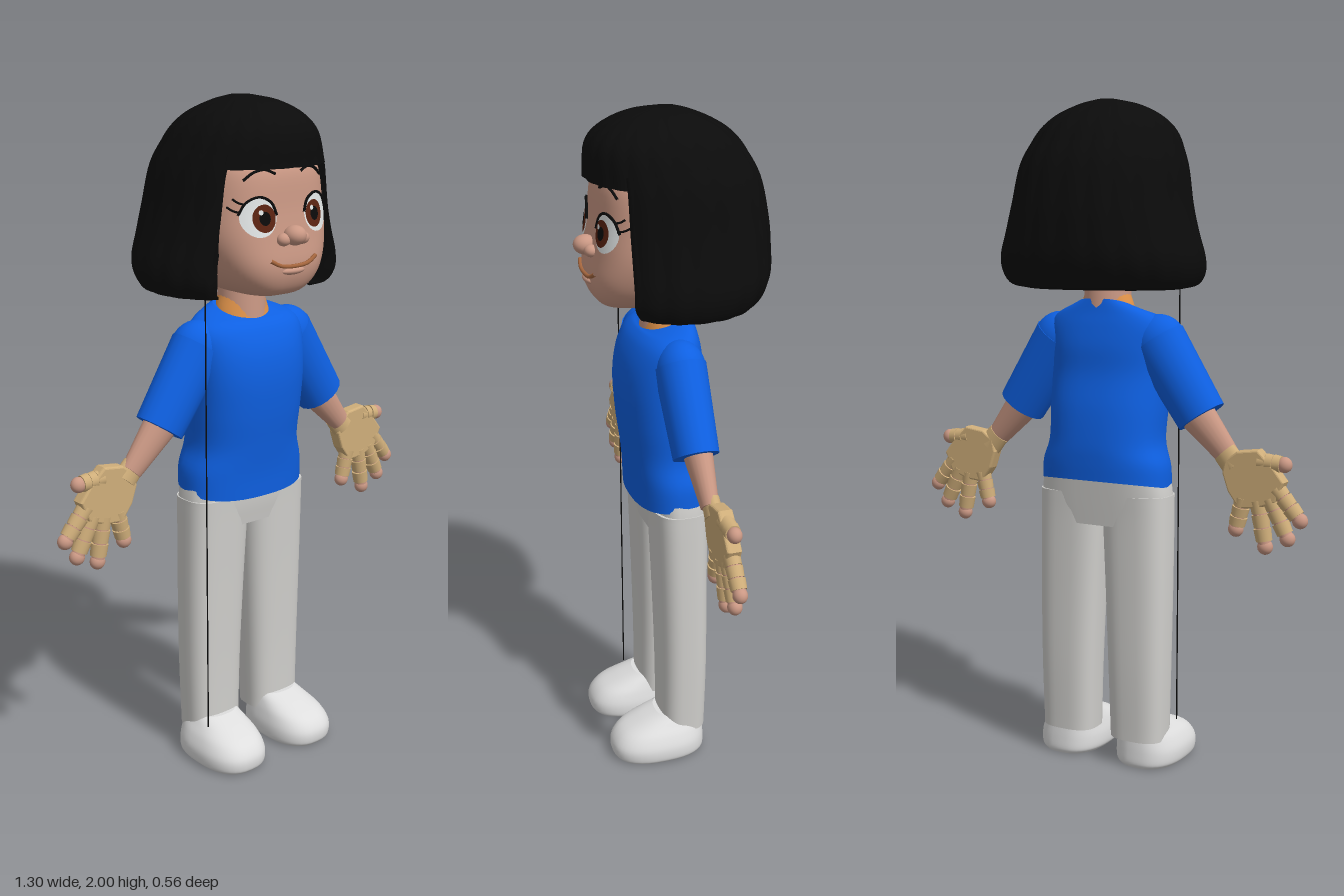
import * as THREE from 'three';

const mat = (name, color) => Object.assign(new THREE.MeshStandardMaterial({ color }), { name });
const M = {
  skin: mat('skin', 0xca9884), tan: mat('tan glove', 0xcfae7a), black: mat('black', 0x0b0b0b),
  blue: mat('shirt blue', 0x0e60e2), trousers: mat('trouser grey', 0xd0cfcc), shoe: mat('shoe white', 0xdedede),
  collar: mat('collar orange', 0xe0934a), white: mat('eye white', 0xe6eaea), iris: mat('iris brown', 0x5c2412),
  lip: mat('lip', 0xa8683f),
};

// Ring: [y, half width, front z, back z, centre x, tilt of y along z]
function resample(rings, steps = 5) {
  const full = rings.flatMap(r => [r[0], r[1], r[2], r[3], r[4] ?? 0, r[5] ?? 0]);
  const curve = new THREE.CubicInterpolant(Float32Array.from(rings.keys()), Float32Array.from(full), 6);
  const out = [], n = (rings.length - 1) * steps;
  for (let i = 0; i <= n; i++) out.push(Array.from(curve.evaluate(i / steps)));
  return out;
}

// Superellipse point; angle 0 faces the front
function oval([, w, f, b, cx], a, n, k = 1) {
  const p = v => Math.sign(v) * Math.abs(v) ** (2 / n);
  return [cx + w * k * p(Math.sin(a)), (f + b) / 2 + (f - b) / 2 * k * p(Math.cos(a))];
}

// Skin over stacked cross-sections, optionally capped
function loft(rings, section, segs = 40, capped = true) {
  const pos = [], idx = [], rows = rings.length;
  const addRing = (r, t) => {
    for (let j = 0; j < segs; j++) {
      const [x, z] = section(r, j / segs, t);
      pos.push(x, r[0] + r[5] * z, z);
    }
  };
  rings.forEach((r, i) => addRing(r, i / (rows - 1)));
  for (let i = 0; i < rows - 1; i++) for (let j = 0; j < segs; j++) {
    const a = i * segs + j, b = i * segs + (j + 1) % segs;
    idx.push(a, b, b + segs, a, b + segs, a + segs);
  }
  if (capped) [0, 1].forEach(top => {
    const r = rings[top ? rows - 1 : 0], base = pos.length / 3, zc = (r[2] + r[3]) / 2;
    addRing(r, top);
    pos.push(r[4], r[0] + r[5] * zc, zc);
    for (let j = 0; j < segs; j++) {
      const a = base + j, b = base + (j + 1) % segs;
      idx.push(base + segs, top ? a : b, top ? b : a);
    }
  });
  const g = new THREE.BufferGeometry();
  g.setAttribute('position', new THREE.Float32BufferAttribute(pos, 3));
  g.setIndex(idx);
  g.computeVertexNormals();
  return g;
}
const body = (rings, n = 2.4) => loft(resample(rings), (r, u) => oval(r, u * 2 * Math.PI, n));

// Head profile, also used to lay facial features on its surface
const HEAD = resample([
  [1.452, .05, .17, 0], [1.466, .1, .213, -.05], [1.5, .145, .237, -.1], [1.55, .178, .246, -.15],
  [1.62, .202, .236, -.18], [1.7, .205, .224, -.2], [1.8, .195, .212, -.2], [1.85, .17, .18, -.17]]);
function headZ(x, y) {
  let i = HEAD.findIndex(r => r[0] > y);
  i = i < 1 ? HEAD.length - 1 : i;
  const t = (y - HEAD[i - 1][0]) / (HEAD[i][0] - HEAD[i - 1][0]);
  const [, w, f, b] = HEAD[i].map((v, k) => THREE.MathUtils.lerp(HEAD[i - 1][k], v, t));
  return (f + b) / 2 + (f - b) / 2 * Math.max(0, 1 - (Math.abs(x) / w) ** 3) ** (1 / 3);
}

export function createModel() {
  const model = new THREE.Group();
  const add = (name, geo, material, parent = model) => {
    const m = new THREE.Mesh(geo, material);
    m.name = name;
    parent.add(m);
    return m;
  };
  const group = name => {
    const g = new THREE.Group();
    g.name = name;
    model.add(g);
    return g;
  };
  // Tapered bar in the xy plane from a to b, flattened in z
  const bar = (name, a, b, ra, rb, flat, z, material, parent) => {
    const dx = b[0] - a[0], dy = b[1] - a[1];
    const g = new THREE.CylinderGeometry(rb, ra, Math.hypot(dx, dy), 20);
    g.scale(1, 1, flat).rotateZ(Math.atan2(-dx, dy)).translate((a[0] + b[0]) / 2, (a[1] + b[1]) / 2, z);
    return add(name, g, material, parent);
  };
  const ball = (name, x, y, z, rx, ry, rz, material, parent) =>
    add(name, new THREE.SphereGeometry(1, 24, 16).scale(rx, ry, rz).translate(x, y, z), material, parent);

  // Head and face
  const head = group('head');
  add('face', loft(HEAD, (r, u) => oval(r, u * 2 * Math.PI, 3), 64), M.skin, head);
  ball('nose', 0, 1.632, .248, .032, .028, .034, M.skin, head);
  const disc = (name, cx, cy, rx, ry, lift, material) => {
    const g = new THREE.RingGeometry(0, 1, 28, 6), p = g.attributes.position;
    for (let i = 0; i < p.count; i++) {
      const x = cx + rx * p.getX(i), y = cy + ry * p.getY(i);
      p.setXYZ(i, x, y, headZ(x, y) + lift);
    }
    g.computeVertexNormals();
    add(name, g, material, head);
  };
  const line = (name, pts, r, material) => {
    const c = new THREE.CatmullRomCurve3(pts.map(([x, y]) => new THREE.Vector3(x, y, headZ(x, y) + .004)));
    add(name, new THREE.TubeGeometry(c, 16, r, 6), material, head);
  };
  for (const s of [-1, 1]) {
    ball('nostrilWing', s * .034, 1.622, .24, .021, .018, .02, M.skin, head);
    disc('eyeWhite', s * .103, 1.685, .052, .053, .003, M.white);
    disc('iris', s * .09, 1.683, .035, .038, .005, M.iris);
    disc('pupil', s * .09, 1.683, .017, .019, .007, M.black);
    disc('eyeGlint', s * .09 - .012, 1.7, .007, .007, .009, M.white);
    line('upperLid', [[.05, 1.69], [.065, 1.724], [.1, 1.741], [.138, 1.726], [.157, 1.693]].map(([x, y]) => [s * x, y]), .004, M.black);
    line('eyebrow', [[.045, 1.8], [.075, 1.812], [.11, 1.806], [.14, 1.785]].map(([x, y]) => [s * x, y]), .004, M.black);
    for (const d of [0, .022])
      line('eyelash', [[.15 - d / 2, 1.7 + d], [.165 - d / 2, 1.705 + d], [.176 - d / 2, 1.715 + d]].map(([x, y]) => [s * x, y]), .003, M.black);
  }
  line('mouth', [[-.082, 1.568], [-.05, 1.552], [0, 1.547], [.05, 1.552], [.082, 1.568]], .006, M.lip);
  ball('lowerLip', 0, 1.533, .236, .045, .012, .02, M.skin, head);

  // Bobbed hair: fringe cap above, open curtain below
  const hair = group('hair');
  const hairRings = [
    [1.452, .235, .17, -.17], [1.465, .285, .21, -.225], [1.5, .305, .24, -.26], [1.55, .305, .245, -.278],
    [1.62, .282, .245, -.28], [1.7, .26, .245, -.275], [1.815, .238, .243, -.25], [1.9, .2, .238, -.2],
    [1.95, .155, .2, -.145], [1.985, .09, .13, -.07], [2, .03, .05, -.02]];
  const strands = a => .985 + .018 * Math.abs(Math.sin(a * 11));
  add('hairCap', loft(resample(hairRings.slice(6)), (r, u) => {
    const a = u * 2 * Math.PI;
    return oval(r, a, 2.2, strands(a));
  }, 132), M.black, hair);
  const open = .8;
  add('hairCurtain', loft(resample(hairRings.slice(0, 8)), (r, u, t) => {
    const v = u < .5 ? u * 2 : 2 - u * 2;
    const a = open + v * (2 * Math.PI - 2 * open);
    return oval(r, a, 2.2, u < .5 ? strands(a) : Math.max(.83, .96 - t * 1.6));
  }, 200, false), M.black, hair);

  // Neck and shirt
  add('neck', new THREE.CylinderGeometry(.065, .075, .16, 28).translate(0, 1.44, .015), M.skin);
  add('collar', body([[1.36, .092, .098, -.055, 0, -.3], [1.4, .084, .086, -.05, 0, -.2], [1.435, .07, .078, -.05]], 2), M.collar);
  add('shirt', body([
    [.865, .207, .128, -.112, 0, -.2], [.93, .203, .132, -.115, 0, -.1], [1, .181, .142, -.115], [1.1, .183, .155, -.105],
    [1.2, .186, .16, -.085], [1.28, .19, .15, -.08], [1.34, .19, .125, -.07], [1.378, .16, .1, -.06, 0, -.1],
    [1.405, .088, .085, -.053, 0, -.35]]), M.blue);

  // Arms, mirrored
  for (const s of [-1, 1]) {
    const P = (x, y) => [s * x, y];
    const arm = group(s > 0 ? 'leftArm' : 'rightArm');
    ball('shoulder', s * .168, 1.292, .022, .087, .087, .072, M.blue, arm);
    bar('sleeve', P(.165, 1.3), P(.309, 1.083), .087, .077, .85, .022, M.blue, arm);
    bar('forearm', P(.285, 1.105), P(.405, .97), .058, .034, .75, .014, M.skin, arm);
    bar('wristBand', P(.39, .987), P(.425, .947), .037, .04, .65, .008, M.tan, arm);

    // Gloved palm
    const palm = new THREE.Shape([[.405, .965], [.44, .99], [.5, .998], [.545, .955], [.577, .915], [.553, .86], [.5, .84],
      [.447, .836], [.415, .88], [.398, .93]].map(([x, y]) => new THREE.Vector2(s * x, y)));
    const slab = new THREE.ExtrudeGeometry(palm, { depth: .026, bevelThickness: .009, bevelSize: .006, bevelSegments: 3 });
    add('palm', slab.translate(0, 0, -.008), M.tan, arm);

    // Thumb and fingers: banded joints with bare tips
    const digits = [[.5, .97, .577, .965], [.555, .895, .627, .808], [.535, .865, .59, .752],
      [.498, .855, .522, .722], [.452, .86, .43, .765]];
    for (const [x0, y0, x1, y1] of digits) {
      const at = t => P(THREE.MathUtils.lerp(x0, x1, t), THREE.MathUtils.lerp(y0, y1, t));
      bar('finger', at(0), at(1), .021, .019, 1, .005, M.skin, arm);
      for (let i = 0; i < 3; i++) bar('fingerBand', at(i * .3), at(i * .3 + .27), .026, .024, .95, .005, M.tan, arm);
      ball('fingertip', ...at(1), .005, .023, .023, .021, M.skin, arm);
    }
  }

  // Trousers and shoes, mirrored
  add('hips', body([[.745, .2, .085, -.068], [.82, .213, .095, -.075], [.93, .195, .1, -.085]], 3), M.trousers);
  for (const s of [-1, 1]) {
    add('trouserLeg', body([
      [.085, .088, .076, -.065, s * .119], [.3, .094, .077, -.07, s * .118], [.55, .101, .083, -.07, s * .114],
      [.75, .106, .09, -.07, s * .109], [.84, .107, .094, -.072, s * .107]], 2.8), M.trousers);
    add('shoe', body([
      [0, .092, .222, -.052, s * .134], [.015, .104, .233, -.06, s * .134], [.05, .105, .232, -.06, s * .134],
      [.085, .094, .205, -.058, s * .131], [.112, .08, .15, -.056, s * .126], [.135, .068, .09, -.05, s * .122]], 2.5), M.shoe);
  }

  // Thin cord hanging at the right side
  add('cord', new THREE.CylinderGeometry(.002, .002, 1.34, 6).translate(-.198, .79, .098), M.black);
  return model;
}
